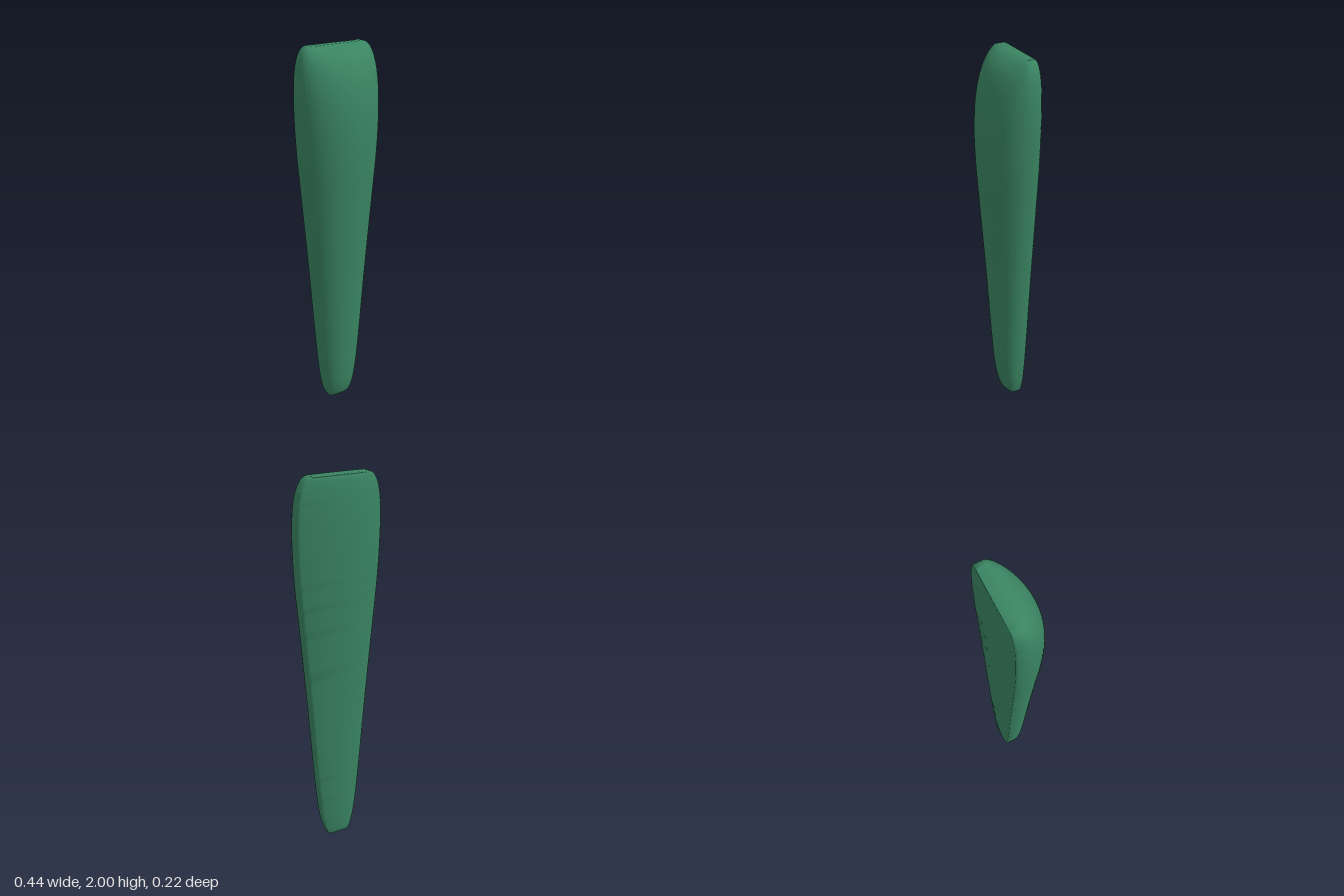
import * as THREE from 'three';
import { toCreasedNormals } from 'three/addons/utils/BufferGeometryUtils.js';

const BACK = -0.108, WALL = -0.058, BEVEL = 0.008, ARC = 40;

// Stations along the height: half width, height, front depth
const profile = new THREE.CatmullRomCurve3([
  [0.055, 0, -0.056], [0.062, 0.006, -0.04], [0.074, 0.035, -0.015], [0.09, 0.1, 0.005],
  [0.106, 0.22, 0.022], [0.122, 0.4, 0.036], [0.152, 0.8, 0.061], [0.185, 1.2, 0.089],
  [0.207, 1.46, 0.106], [0.216, 1.64, 0.107], [0.217, 1.78, 0.094], [0.21, 1.88, 0.067],
  [0.196, 1.945, 0.031], [0.176, 1.984, -0.012], [0.157, 1.997, -0.042], [0.145, 2, -0.056],
].map((p) => new THREE.Vector3(...p)));

// D-shaped section: flat back, small bevels, straight walls, elliptical front
function section({ x: w, y, z: front }) {
  const backY = 1 + (y - 1) * (1 - BEVEL * 0.6);
  const pts = [[w - BEVEL, backY, BACK], [w, y, BACK + BEVEL]];
  for (let i = 0; i <= ARC; i++) {
    const a = (Math.PI * i) / ARC;
    pts.push([w * Math.cos(a), y, WALL + (front - WALL) * Math.sin(a)]);
  }
  pts.push([-w, y, BACK + BEVEL], [-w + BEVEL, backY, BACK]);
  return pts;
}

function loft(rings) {
  const n = rings[0].length, index = [];
  for (let r = 0; r < rings.length - 1; r++) {
    for (let i = 0; i < n; i++) {
      const a = r * n + i, b = r * n + ((i + 1) % n);
      index.push(a, a + n, b, b, a + n, b + n);
    }
  }
  // End caps
  const top = (rings.length - 1) * n;
  for (let i = 1; i < n - 1; i++) {
    index.push(0, i, i + 1, top, top + i + 1, top + i);
  }
  const geometry = new THREE.BufferGeometry();
  geometry.setAttribute('position', new THREE.Float32BufferAttribute(rings.flat(2), 3));
  geometry.setIndex(index);
  return toCreasedNormals(geometry, 0.9);
}

export function createModel() {
  const group = new THREE.Group();
  group.name = 'taperedHandle';
  const body = new THREE.Mesh(
    loft(profile.getPoints(120).map(section)),
    new THREE.MeshStandardMaterial({ color: 0x3a8562 }),
  );
  body.name = 'handleBody';
  group.add(body);
  return group;
}
